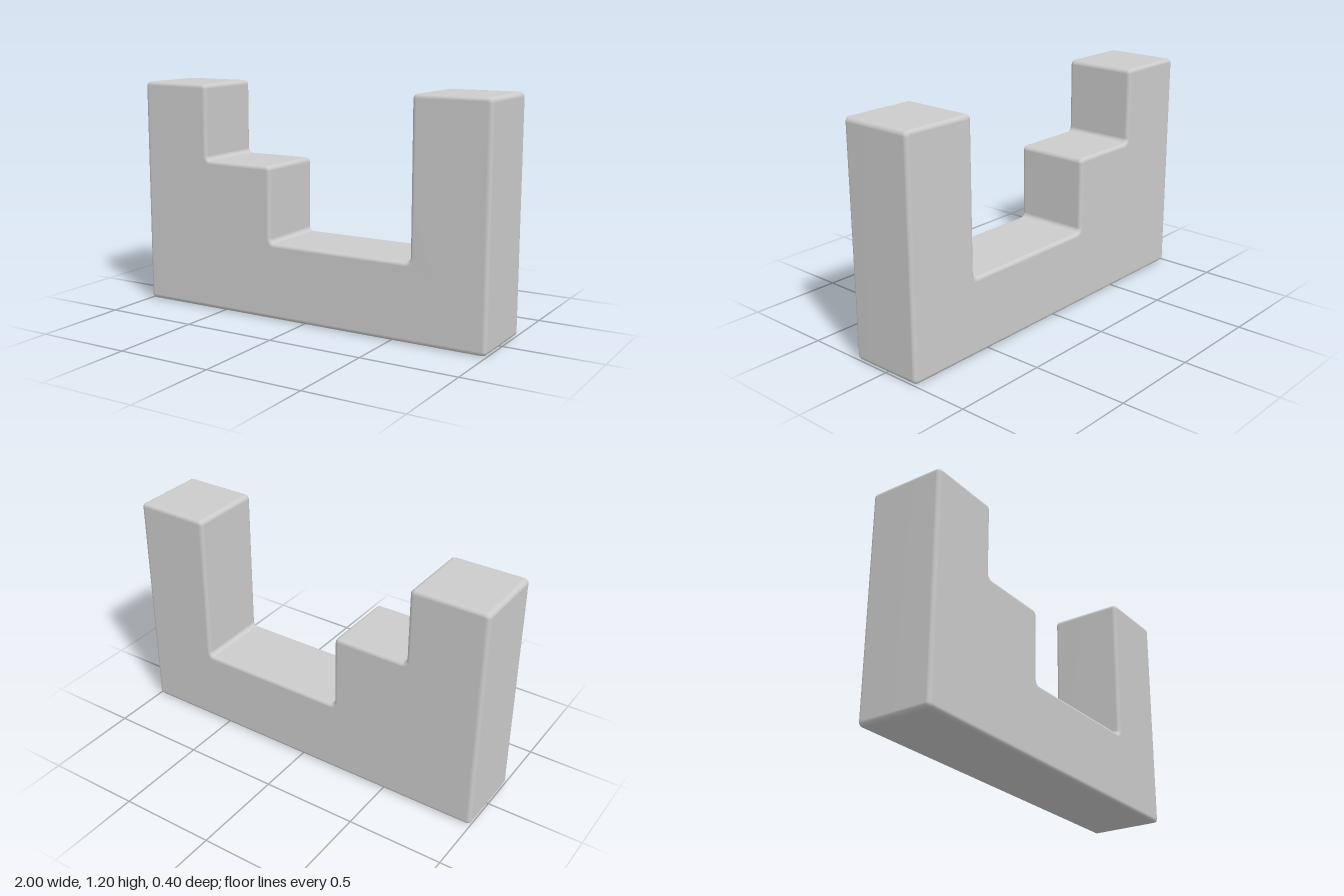
import * as THREE from 'three';
import { mergeVertices } from 'three/addons/utils/BufferGeometryUtils.js';

const DEPTH = 0.4;
const BEVEL = 0.02;
const CORNER = 0.025;

// Closed outline whose corners are all rounded by radius r.
function roundedOutline(points, r) {
  const shape = new THREE.Shape();
  const corners = points.map(([x, y]) => new THREE.Vector2(x, y));
  const n = corners.length;
  corners.forEach((c, i) => {
    const toPrev = corners[(i + n - 1) % n].clone().sub(c).normalize();
    const toNext = corners[(i + 1) % n].clone().sub(c).normalize();
    const at = (dir, d) => c.clone().addScaledVector(dir, d);
    const start = at(toPrev, r), end = at(toNext, r);
    const a = at(toPrev, r * 0.448), b = at(toNext, r * 0.448);
    if (i === 0) shape.moveTo(start.x, start.y);
    else shape.lineTo(start.x, start.y);
    shape.bezierCurveTo(a.x, a.y, b.x, b.y, end.x, end.y);
  });
  shape.closePath();
  return shape;
}

export function createModel() {
  const group = new THREE.Group();
  group.name = 'steppedBlock';

  // Tall step, middle step, low floor and tall end post in one silhouette
  const outline = roundedOutline([
    [-1, 0], [1, 0], [1, 1.2], [0.6, 1.2], [0.6, 0.4],
    [-0.2, 0.4], [-0.2, 0.8], [-0.6, 0.8], [-0.6, 1.2], [-1, 1.2],
  ], CORNER);

  let geometry = new THREE.ExtrudeGeometry(outline, {
    depth: DEPTH - 2 * BEVEL,
    curveSegments: 6,
    bevelThickness: BEVEL,
    bevelSize: BEVEL,
    bevelOffset: -BEVEL,
    bevelSegments: 5,
  });
  geometry.translate(0, 0, BEVEL - DEPTH / 2);

  // Shared vertices give smooth, area-weighted normals over the rounded edges
  geometry.deleteAttribute('uv');
  geometry.deleteAttribute('normal');
  geometry = mergeVertices(geometry, 1e-4);
  geometry.computeVertexNormals();

  const body = new THREE.Mesh(geometry, new THREE.MeshStandardMaterial({ color: 0xcccccc }));
  body.name = 'body';
  group.add(body);
  return group;
}
